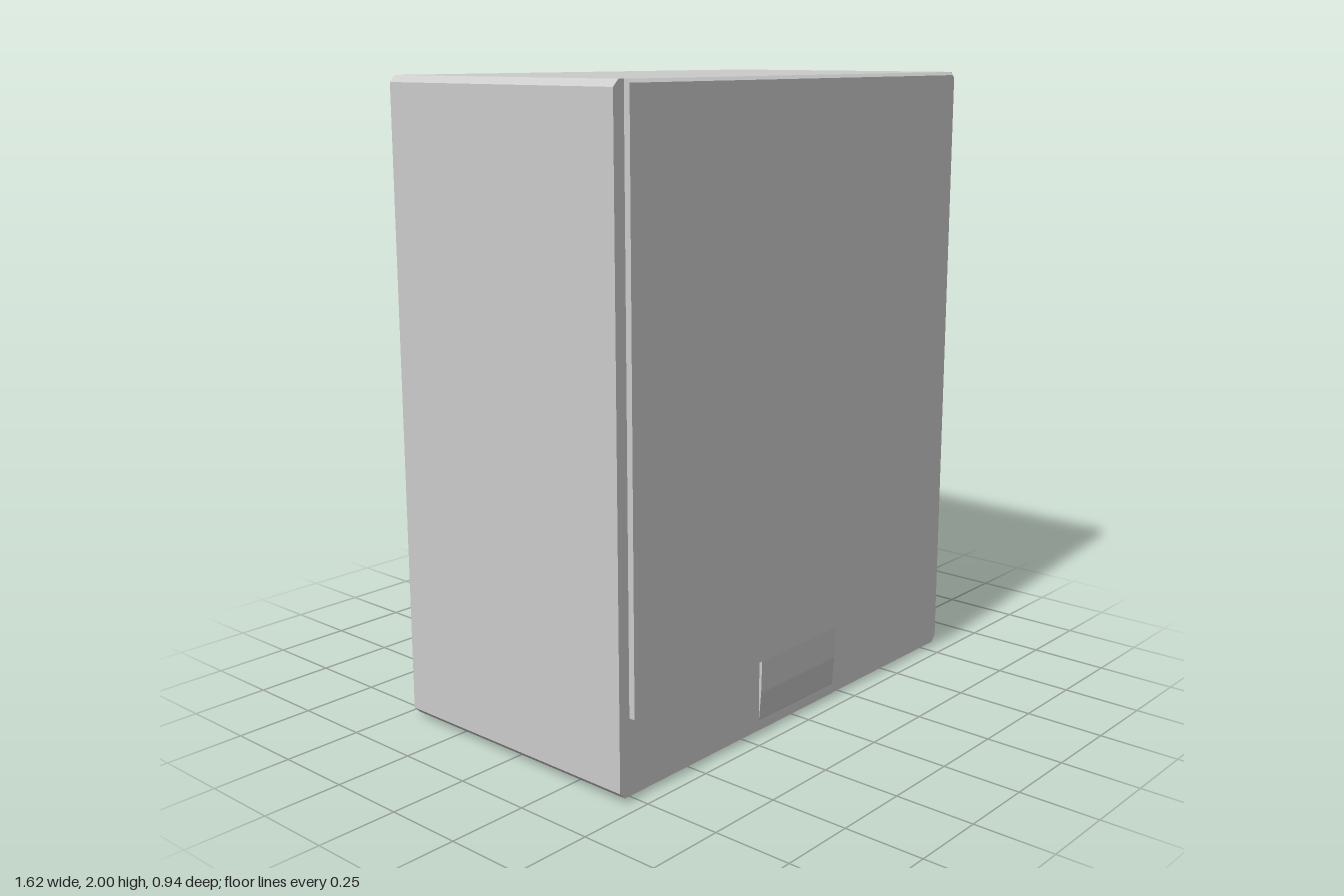
import * as THREE from 'three';
import { ConvexGeometry } from 'three/addons/geometries/ConvexGeometry.js';

const material = new THREE.MeshStandardMaterial({ color: 0xcccccc, flatShading: true });

// Corner-cut rectangle at depth z, mirrored over x
function section(z, halfWidth, cutX, cutY, bottom, top) {
  const points = [];
  for (const s of [-1, 1]) {
    points.push(
      new THREE.Vector3(s * halfWidth, bottom + cutY, z),
      new THREE.Vector3(s * (halfWidth - cutX), bottom, z),
      new THREE.Vector3(s * halfWidth, top - cutY, z),
      new THREE.Vector3(s * (halfWidth - cutX), top, z)
    );
  }
  return points;
}

// Extrudes a (z, y) side profile symmetrically across x
function sideExtrude(profile, width) {
  const shape = new THREE.Shape(profile.map(([z, y]) => new THREE.Vector2(-z, y)));
  const geometry = new THREE.ExtrudeGeometry(shape, { depth: width, bevelEnabled: false });
  geometry.translate(0, 0, -width / 2);
  geometry.rotateY(Math.PI / 2);
  return geometry;
}

export function createModel() {
  const model = new THREE.Group();
  const add = (name, geometry) => {
    const mesh = new THREE.Mesh(geometry, material);
    mesh.name = name;
    model.add(mesh);
  };

  // Cabinet with chamfered long edges and chamfered rear corners
  add('cabinet', new ConvexGeometry([
    ...section(0.45, 0.81, 0.02, 0.02, 0.015, 2),
    ...section(-0.448, 0.81, 0.02, 0.02, 0.015, 2),
    ...section(-0.47, 0.788, 0.035, 0.02, 0.015, 1.998)
  ]));

  // Raised front panel with a bevelled top edge
  add('frontPanel', sideExtrude(
    [[0.44, 0.25], [0.47, 0.25], [0.47, 1.99], [0.46, 2], [0.44, 2]], 1.54));

  // Tapered tab below the panel, blending into the cabinet front
  add('frontTab', sideExtrude(
    [[0.44, 0.25], [0.461, 0.25], [0.458, 0.14], [0.451, 0.05], [0.44, 0.02]], 0.38));

  // Thin foot plate continuing the tab underneath
  add('footPlate', sideExtrude(
    [[0.45, 0.02], [0.45, 0.014], [0.36, 0.008], [0.28, 0], [0.18, 0], [0.18, 0.02]], 0.38));

  return model;
}
